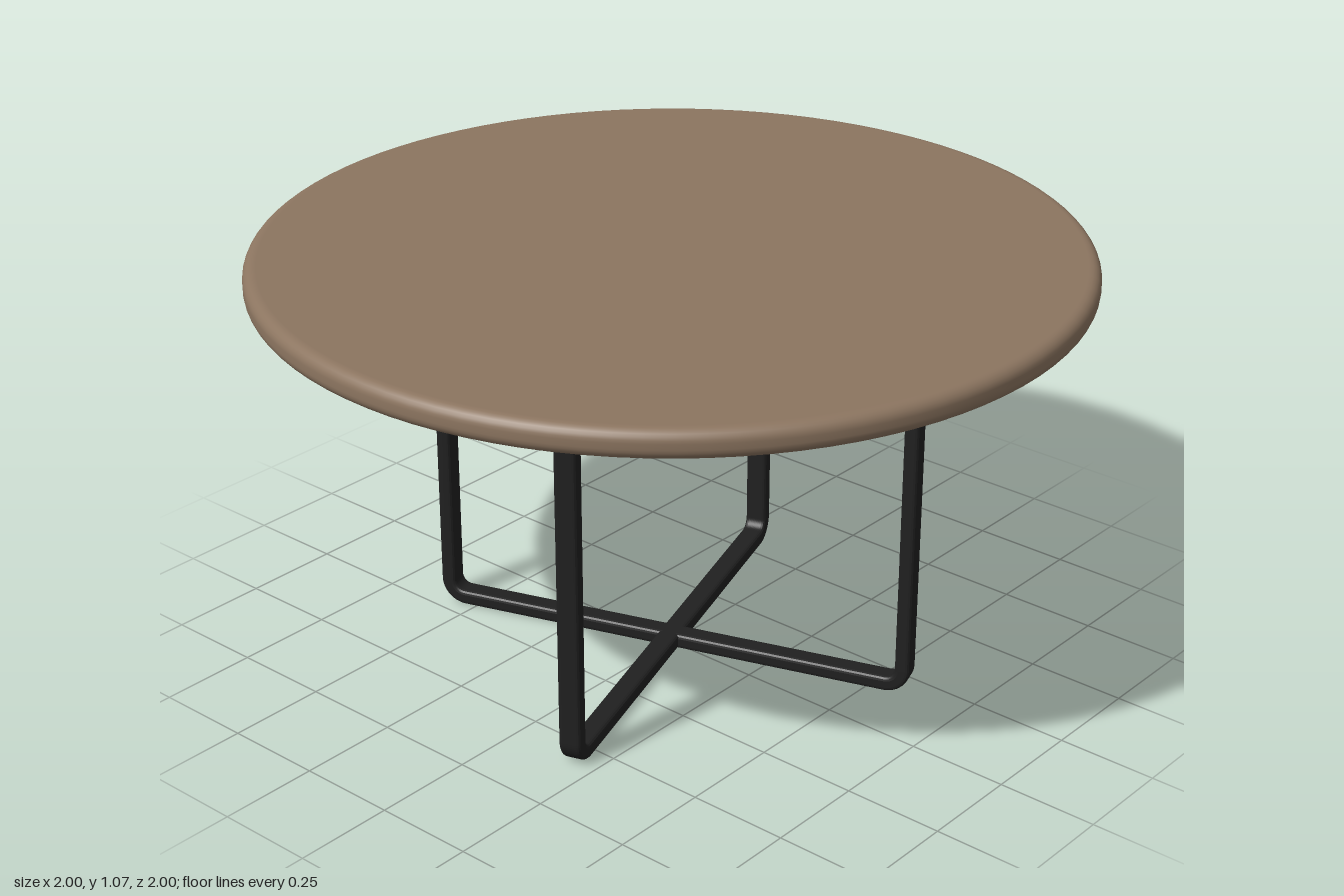
import * as THREE from 'three';

// Rounded rectangle outline, used for both the outside and the hole of a frame
function roundedRect(target, x0, y0, x1, y1, r) {
  target.moveTo(x0 + r, y0);
  target.lineTo(x1 - r, y0);
  target.absarc(x1 - r, y0 + r, r, -Math.PI / 2, 0);
  target.lineTo(x1, y1 - r);
  target.absarc(x1 - r, y1 - r, r, 0, Math.PI / 2);
  target.lineTo(x0 + r, y1);
  target.absarc(x0 + r, y1 - r, r, Math.PI / 2, Math.PI);
  target.lineTo(x0, y0 + r);
  target.absarc(x0 + r, y0 + r, r, Math.PI, Math.PI * 1.5);
  return target;
}

// Closed loop of flat bar with softened edges, standing in the xy plane
function frameGeometry(halfLength, height, thickness, width, bevel) {
  const b = bevel, t = thickness - bevel;
  const outline = roundedRect(new THREE.Shape(), -halfLength + b, b, halfLength - b, height - b, 0.055);
  outline.holes.push(roundedRect(new THREE.Path(), -halfLength + t, t, halfLength - t, height - t, 0.035));
  const geometry = new THREE.ExtrudeGeometry(outline, {
    depth: width - 2 * b, bevelEnabled: true, bevelThickness: b, bevelSize: b,
    bevelSegments: 3, curveSegments: 8,
  });
  return geometry.translate(0, 0, -(width - 2 * b) / 2);
}

export function createModel() {
  const wood = new THREE.MeshStandardMaterial({ color: 0x8c7560 });
  wood.name = 'brown wood';
  const metal = new THREE.MeshStandardMaterial({ color: 0x202020 });
  metal.name = 'black metal';

  const table = new THREE.Group();
  table.name = 'roundTable';

  // Round top with a softened rim
  const bottom = 1.0, top = 1.07, r = 0.028, steps = 6;
  const profile = [new THREE.Vector2(0, bottom), new THREE.Vector2(1 - r - 0.004, bottom)];
  for (const [cy, start] of [[bottom + r, -Math.PI / 2], [top - r, 0]]) {
    for (let i = 0; i <= steps; i++) {
      const a = start + (i / steps) * Math.PI / 2;
      profile.push(new THREE.Vector2(1 - r + r * Math.cos(a), cy + r * Math.sin(a)));
    }
  }
  profile.push(new THREE.Vector2(1 - r - 0.004, top), new THREE.Vector2(0, top));
  const tableTop = new THREE.Mesh(new THREE.LatheGeometry(profile, 96), wood);
  tableTop.name = 'tableTop';
  table.add(tableTop);

  // Two identical loop frames crossing at right angles, let slightly into the top
  const frame = frameGeometry(0.63, 1.017, 0.038, 0.056, 0.01);
  const turn = THREE.MathUtils.degToRad(18.5);
  ['legFrameA', 'legFrameB'].forEach((name, i) => {
    const mesh = new THREE.Mesh(frame, metal);
    mesh.name = name;
    mesh.rotation.y = turn + i * Math.PI / 2;
    table.add(mesh);
  });

  return table;
}
